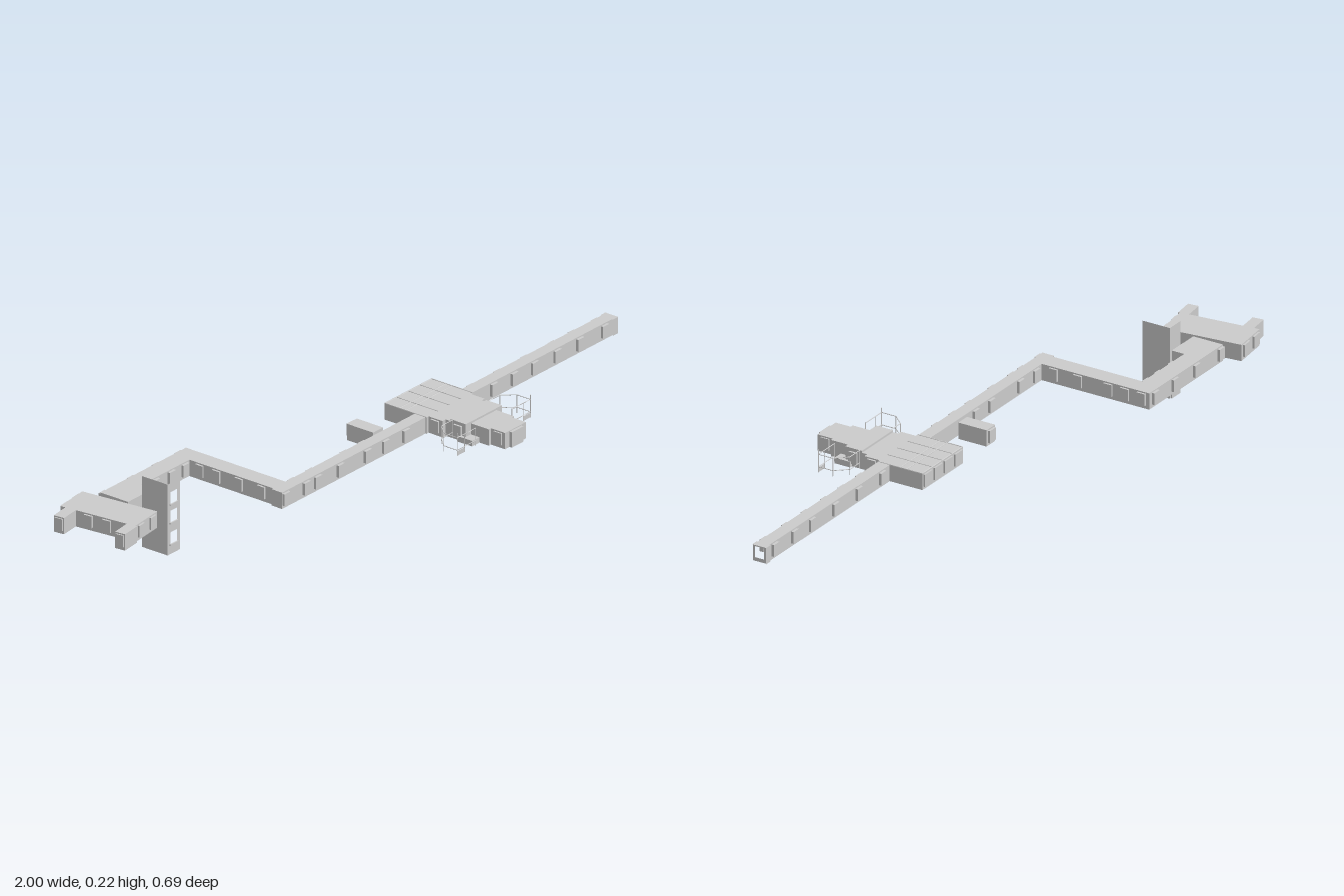
import * as THREE from 'three';

const Y0 = 0.103, Y1 = 0.153;
const mat = new THREE.MeshStandardMaterial({ color: 0xcccccc, flatShading: true });
const thin = new THREE.MeshStandardMaterial({ color: 0xcccccc, flatShading: true, side: THREE.DoubleSide });
const FACES = ['+x', '-x', '+y', '-y', '+z', '-z'];

function add(parent, name, geo, x = 0, y = 0, z = 0, m = mat) {
  const mesh = new THREE.Mesh(geo, m);
  mesh.name = name;
  mesh.position.set(x, y, z);
  parent.add(mesh);
  return mesh;
}

// Box shell between two corners, optionally without some of its faces
function room(parent, name, x0, x1, z0, z1, y0 = Y0, y1 = Y1, open = []) {
  const geo = new THREE.BoxGeometry(x1 - x0, y1 - y0, z1 - z0);
  const index = [...geo.index.array].filter((_, i) => !open.includes(FACES[Math.floor(i / 6)]));
  geo.setIndex(index);
  geo.clearGroups();
  return add(parent, name, geo, (x0 + x1) / 2, (y0 + y1) / 2, (z0 + z1) / 2);
}

// Flat wall centred on its own origin, with rectangular openings [x, y, w, h]
function wallWithHoles(w, h, holes) {
  const rect = (P, x, y, a, b) => new P([[-1, -1], [1, -1], [1, 1], [-1, 1]]
    .map(([i, j]) => new THREE.Vector2(x + i * a / 2, y + j * b / 2)));
  const shape = rect(THREE.Shape, 0, 0, w, h);
  for (const q of holes) shape.holes.push(rect(THREE.Path, ...q));
  return new THREE.ShapeGeometry(shape);
}

// Raised window bays along a wall; axis is the direction the wall runs in
function bays(parent, axis, fixed, places, width = 0.027, depth = 0.012) {
  for (const p of places) {
    const alongX = axis === 'x';
    const geo = new THREE.BoxGeometry(alongX ? width : depth, 0.036, alongX ? depth : width);
    add(parent, 'windowBay', geo, alongX ? p : fixed, 0.131, alongX ? fixed : p);
  }
}

function bar(parent, name, a, b, r = 0.0012) {
  const A = new THREE.Vector3(...a), B = new THREE.Vector3(...b);
  const mesh = add(parent, name, new THREE.CylinderGeometry(r, r, A.distanceTo(B), 5));
  mesh.position.copy(A).lerp(B, 0.5);
  mesh.quaternion.setFromUnitVectors(new THREE.Vector3(0, 1, 0), B.sub(A).normalize());
}

export function createModel() {
  const g = new THREE.Group();
  g.name = 'stationComplex';

  // Long main corridor with an open end window
  room(g, 'mainCorridor', -0.485, 0.995, 0.06, 0.098, Y0, Y1, ['+x']);
  const end = add(g, 'corridorEndWall', wallWithHoles(0.042, 0.05, [[0, 0.003, 0.03, 0.034]]), 0.995, 0.128, 0.08);
  end.rotation.y = Math.PI / 2;
  room(g, 'corridorEndFrame', 0.975, 0.998, 0.056, 0.102, Y0, Y1, ['+x', '-x']);
  bays(g, 'x', 0.058, [-0.39, -0.31, -0.16, -0.08, 0.40, 0.52, 0.64, 0.76, 0.85, 0.95]);
  bays(g, 'x', 0.1, [-0.47, -0.38, -0.33, -0.23, -0.11, -0.03, 0.06, 0.45, 0.54, 0.63, 0.73, 0.83, 0.94]);

  // Cross corridor and back corridor
  room(g, 'crossCorridor', -0.478, -0.422, -0.295, 0.062);
  bays(g, 'z', -0.422, [-0.27, -0.215, -0.16, -0.06, 0.02]);
  bays(g, 'z', -0.478, [-0.2, -0.14, -0.06, 0.02]);
  room(g, 'backCorridor', -0.70, -0.422, -0.295, -0.238);
  room(g, 'backLobby', -0.80, -0.69, -0.295, -0.197);
  bays(g, 'x', -0.297, [-0.785, -0.66, -0.55, -0.45]);
  bays(g, 'x', -0.236, [-0.63, -0.56, -0.50]);

  // Side annex
  room(g, 'sideAnnex', -0.02, 0.024, -0.045, 0.048);
  room(g, 'annexWindow', -0.013, 0.017, -0.052, -0.04, 0.112, 0.149);

  // Tilted hall with two small wings
  const hall = new THREE.Group();
  hall.name = 'tiltedHall';
  hall.position.set(-0.868, 0, -0.211);
  hall.rotation.y = 0.115;
  g.add(hall);
  room(hall, 'hallRoom', -0.057, 0.057, -0.123, 0.123);
  room(hall, 'backWing', -0.118, -0.055, -0.106, -0.072);
  room(hall, 'frontWing', -0.118, -0.055, 0.095, 0.128);
  bays(hall, 'x', 0.123, [-0.03, 0.03]);
  bays(hall, 'x', -0.123, [-0.03, 0.03], 0.035);
  bays(hall, 'z', -0.057, [-0.03, 0.03]);
  for (const z of [-0.089, 0.111]) bays(hall, 'z', -0.118, [z], 0.026, 0.008);

  // Upright shaft, open at the top and bottom, with three front windows
  room(g, 'shaft', -0.75, -0.696, -0.187, -0.096, 0, 0.217, ['+y', '-y', '+z']);
  const windows = [0.063, 0.006, -0.06];
  add(g, 'shaftFront', wallWithHoles(0.054, 0.217, windows.map(y => [0, y, 0.03, 0.036])), -0.723, 0.1085, -0.096);
  for (const y of windows) add(g, 'shaftSill', new THREE.BoxGeometry(0.036, 0.004, 0.004), -0.723, 0.1085 + y - 0.02, -0.095);
  room(g, 'shaftBackPanel', -0.745, -0.701, -0.191, -0.187, 0, 0.1);

  // Central hub: gridded sunroom, crossing and stepped front rooms
  room(g, 'sunroom', 0.15, 0.358, -0.048, 0.062);
  room(g, 'crossing', 0.15, 0.358, 0.055, 0.101);
  for (let i = 0; i < 4; i++) room(g, 'sunroomWindow', 0.157 + i * 0.052, 0.197 + i * 0.052, -0.053, -0.045, 0.112, 0.149);
  for (let i = 0; i <= 4; i++) bar(g, 'roofRib', [0.151 + i * 0.0515, Y1, -0.047], [0.151 + i * 0.0515, Y1, 0.1], 0.0018);
  for (const z of [-0.047, 0.004, 0.026]) bar(g, 'roofRib', [0.151, Y1, z], [0.357, Y1, z], 0.0018);
  room(g, 'frontHall', 0.16, 0.348, 0.1, 0.15);
  room(g, 'frontHallMiddle', 0.174, 0.334, 0.15, 0.168);
  room(g, 'raisedHall', 0.174, 0.334, 0.167, 0.222, Y0, 0.159);
  for (const s of [-1, 1]) {
    const a = 0.254 + s * 0.073;
    room(g, 'raisedHallCorner', a - 0.016, a + 0.016, 0.2, 0.252, Y0, 0.12);
    bays(g, 'z', 0.254 + s * 0.094, [0.125]);
    bays(g, 'z', 0.254 + s * 0.08, [0.195]);
  }
  room(g, 'frontRoom', 0.198, 0.31, 0.22, 0.285);
  room(g, 'frontPorch', 0.208, 0.3, 0.28, 0.335);
  room(g, 'porchWindow', 0.228, 0.28, 0.333, 0.343, Y0, 0.15);
  for (const x of [0.208, 0.3]) bays(g, 'z', x, [0.31], 0.027, 0.008);

  // Railed balconies on both sides of the raised hall
  for (const s of [-1, 1]) {
    const X = d => 0.254 + s * d;
    const path = [[0.08, 0.258], [0.13, 0.258], [0.162, 0.258], [0.162, 0.21], [0.13, 0.175], [0.08, 0.175]];
    for (let i = 0; i < path.length; i++) {
      const [d, z] = path[i];
      bar(g, 'railPost', [X(d), Y0, z], [X(d), i === 2 ? 0.172 : 0.158, z]);
      if (i === 0) continue;
      const [e, w] = path[i - 1];
      for (const y of [0.12, 0.158]) bar(g, 'rail', [X(e), y, w], [X(d), y, z]);
    }
    const kerb = add(g, 'balconyKerb', new THREE.PlaneGeometry(0.03, 0.014), X(0.146), 0.11, 0.258, thin);
    kerb.name = 'balconyKerb';
  }
  return g;
}
